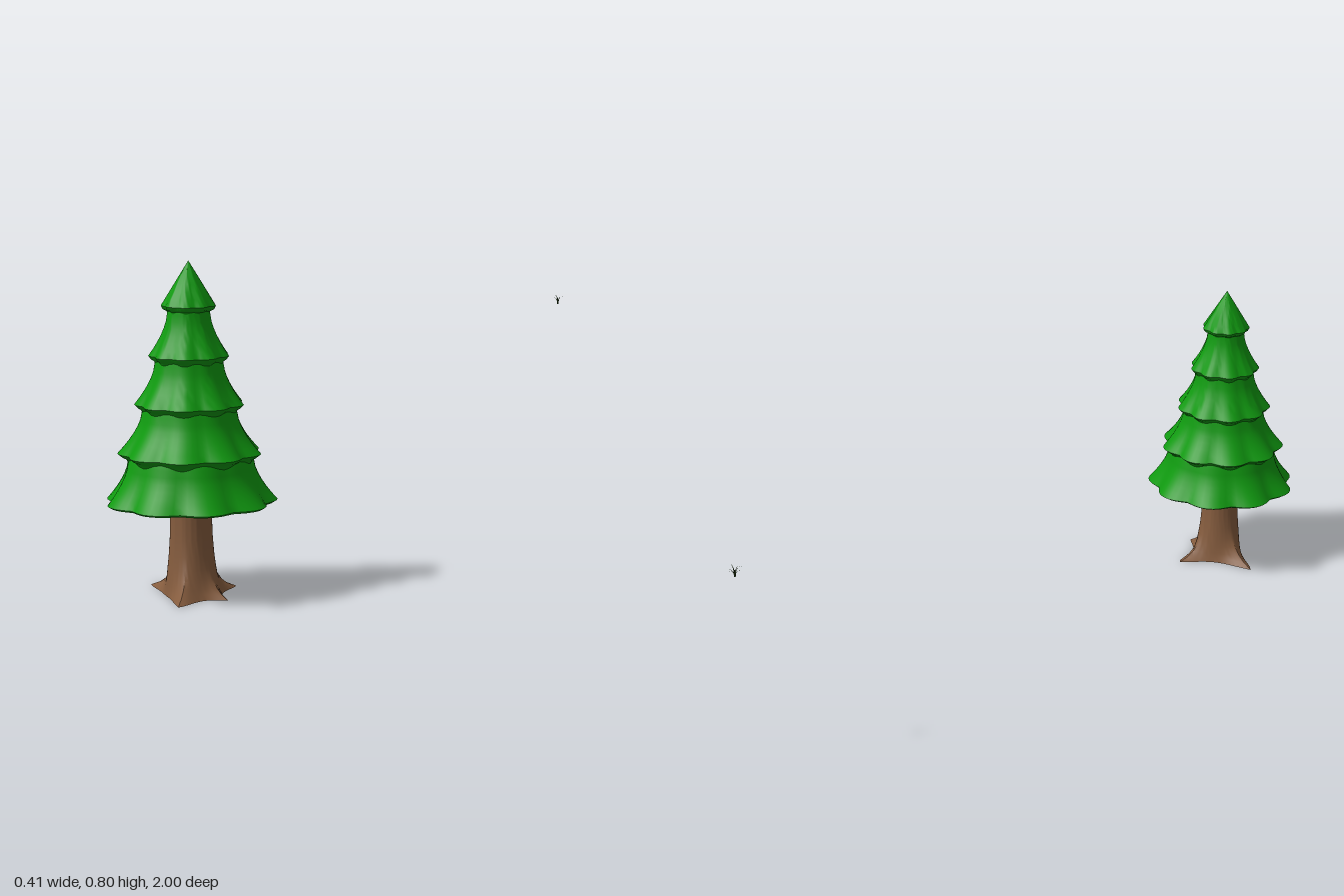
import * as THREE from 'three';
import { toCreasedNormals } from 'three/addons/utils/BufferGeometryUtils.js';

// Lathe whose radius is scaled by a rule of angle, radius and height
function shapedLathe(profile, segments, rule, crease) {
  const geo = new THREE.LatheGeometry(profile.map(([r, y]) => new THREE.Vector2(r, y)), segments);
  const p = geo.attributes.position;
  for (let i = 0; i < p.count; i++) {
    const x = p.getX(i), y = p.getY(i), z = p.getZ(i);
    const k = rule(Math.atan2(z, x), Math.hypot(x, z), y);
    p.setXYZ(i, x * k, y, z * k);
  }
  return toCreasedNormals(geo, crease);
}

export function createModel() {
  const model = new THREE.Group();
  const green = new THREE.MeshStandardMaterial({ color: 0x109a10 });
  const brown = new THREE.MeshStandardMaterial({ color: 0x855c3e });
  const grassGreen = new THREE.MeshStandardMaterial({ color: 0x2f4a1a, side: THREE.DoubleSide });

  const tree = new THREE.Group();
  tree.name = 'tree';
  tree.position.set(-0.006, 0, 0.796);
  model.add(tree);

  // Trunk: round shaft flaring into four pointed roots, [angle, reach]
  const roots = [[1.12, 0.158], [0.08, 0.12], [-1.28, 0.148], [-2.98, 0.16]];
  const shaft = [[0, 0], [0.06, 0], [0.058, 0.012], [0.057, 0.025], [0.056, 0.045],
    [0.055, 0.07], [0.053, 0.1], [0.051, 0.14], [0.05, 0.18], [0.05, 0.23]];
  const trunkGeo = shapedLathe(shaft, 72, (a, r, y) => {
    const flare = Math.exp(-y / 0.03);
    let reach = 0;
    for (const [angle, length] of roots) {
      const d = Math.abs(Math.atan2(Math.sin(a - angle), Math.cos(a - angle)));
      const width = 0.3 + 2.5 * Math.min(y, 0.16);
      reach += (length / 0.06 - 1) * Math.exp(-d / width);
    }
    return 1 + reach * 0.9 * flare;
  }, 0.8);
  const trunk = new THREE.Mesh(trunkGeo, brown);
  trunk.name = 'trunk';
  tree.add(trunk);

  // Foliage: five scalloped skirts, [rim height, rim radius, waist radius, lobe phase]
  const tiers = [
    [0.228, 0.201, 0.147, 0],
    [0.345, 0.168, 0.111, Math.PI],
    [0.462, 0.128, 0.08, Math.PI],
    [0.578, 0.094, 0.05, Math.PI],
    [0.697, 0.064, 0, Math.PI],
  ];
  tiers.forEach(([y, rim, waist, phase], i) => {
    const top = i < 4 ? tiers[i + 1][0] - 0.02 : 0.803;
    const under = i === 0
      ? [[0.03, 0.205], [0.055, 0.214], [0.12, 0.219], [rim * 0.96, 0.223]]
      : [[tiers[i - 1][2] * 0.96, y - 0.026], [tiers[i - 1][2] * 1.01, y - 0.013], [rim * 0.94, y - 0.008]];
    const side = [[rim, y]];
    for (let s = 1; s <= 6; s++) {
      const t = s / 6;
      const f = i < 4 ? Math.pow(1 - t, 1.6) : 1 - t;
      side.push([waist + (rim - waist) * f, y + (top - y) * t]);
    }
    if (i < 4) side.push([waist * 0.95, top + 0.02]);
    const geo = shapedLathe([...under, ...side], 72, (a, r) => {
      const ripple = 0.5 + 0.5 * Math.cos(9 * (a - phase));
      const strength = 0.03 + 0.09 * THREE.MathUtils.clamp((r - waist) / (rim - waist), 0, 1);
      return 1.03 - strength * (1 - Math.sqrt(ripple + 0.02));
    }, 0.7);
    const skirt = new THREE.Mesh(geo, green);
    skirt.name = `foliageTier${i + 1}`;
    tree.add(skirt);
  });

  // Tiny grass tuft: thin tapered blades bending outward
  const tuft = new THREE.Group();
  tuft.name = 'grassTuft';
  tuft.position.set(-0.005, 0.53, -0.98);
  model.add(tuft);
  for (let b = 0; b < 7; b++) {
    const blade = new THREE.PlaneGeometry(0.004, 1, 1, 4);
    const p = blade.attributes.position;
    const height = b % 2 ? 0.025 : 0.02;
    for (let i = 0; i < p.count; i++) {
      const t = p.getY(i) + 0.5;
      p.setXYZ(i, p.getX(i) * (1 - t), height * Math.sin(t * 1.7), 0.02 * t * t + 0.001);
    }
    blade.computeVertexNormals();
    const mesh = new THREE.Mesh(blade, grassGreen);
    mesh.name = `grassBlade${b + 1}`;
    mesh.rotation.y = Math.PI + (b * Math.PI * 2) / 7;
    tuft.add(mesh);
  }
  return model;
}
